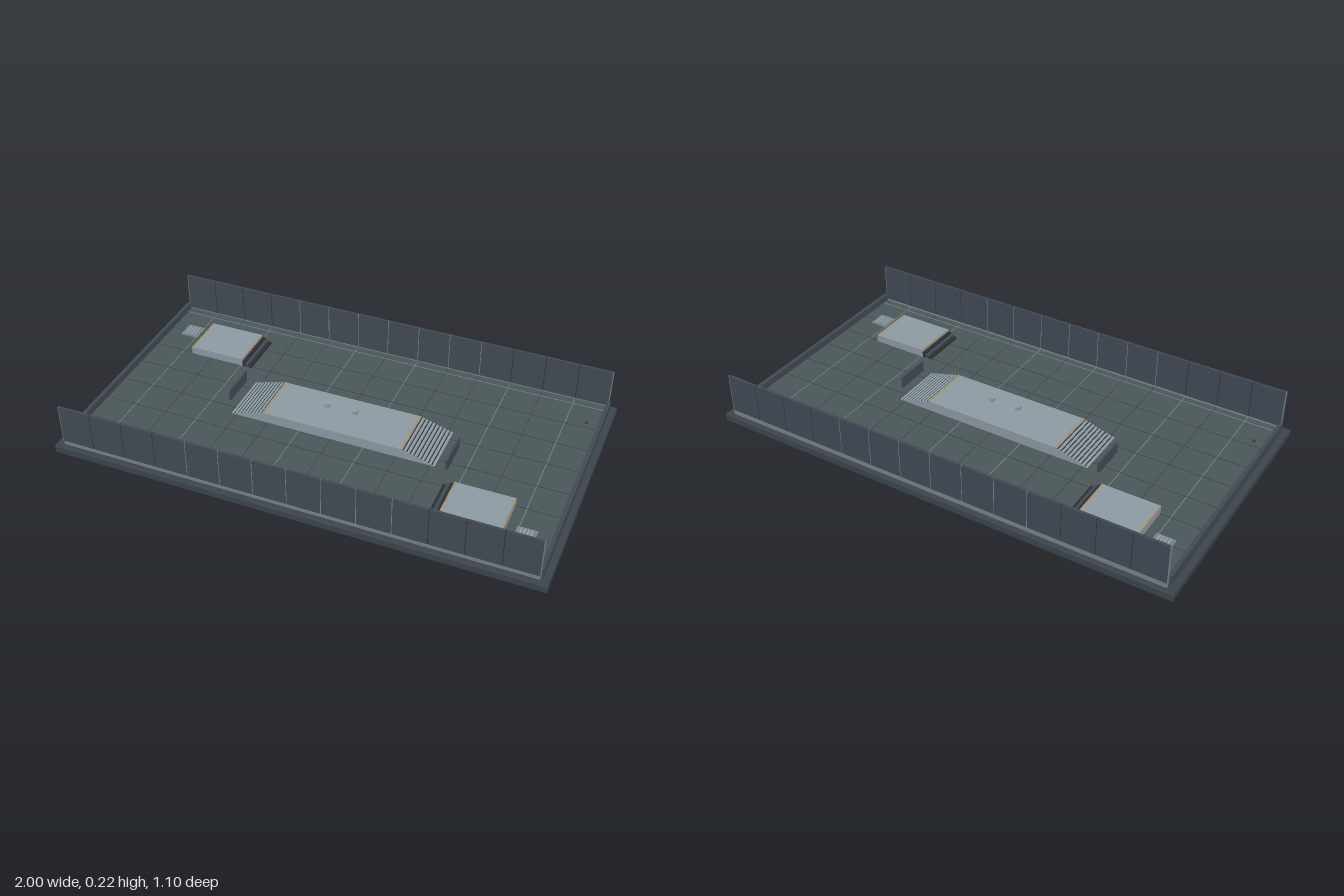
import * as THREE from 'three';
import { RoundedBoxGeometry } from 'three/addons/geometries/RoundedBoxGeometry.js';

const mat = (color) => new THREE.MeshStandardMaterial({ color });

export function createModel() {
  const root = new THREE.Group();
  root.name = 'arenaDeck';
  const M = {
    base: mat(0x3d444d), floor: mat(0x4a5659), wall: mat(0x414a54), dark: mat(0x2b3036),
    slab: mat(0x8e9aa3), line: mat(0x75838a), trim: mat(0xb98a4a),
  };

  // Box given by its limits on each axis
  const box = (parent, name, m, x0, x1, y0, y1, z0, z1) => {
    const mesh = new THREE.Mesh(new THREE.BoxGeometry(x1 - x0, y1 - y0, z1 - z0), m);
    mesh.position.set((x0 + x1) / 2, (y0 + y1) / 2, (z0 + z1) / 2);
    mesh.name = name;
    parent.add(mesh);
    return mesh;
  };
  const group = (name, parent = root) => {
    const g = new THREE.Group();
    g.name = name;
    parent.add(g);
    return g;
  };

  const FLOOR = 0.05, PITCH = 0.138;

  // Base plate and floor
  const base = new THREE.Mesh(new RoundedBoxGeometry(2, 0.035, 1.1, 2, 0.006), M.base);
  base.position.y = 0.0175;
  base.name = 'basePlate';
  root.add(base);
  box(root, 'floor', M.floor, -0.965, 0.965, 0.03, FLOOR, -0.52, 0.52);

  // Floor seams, light across and dark along
  const seams = group('floorSeams');
  for (let i = -6; i <= 6; i++) {
    const light = [1, 4, 6].includes(Math.abs(i));
    box(seams, 'crossSeam', light ? M.line : M.base, i * PITCH - 0.0015, i * PITCH + 0.0015,
      FLOOR - 0.002, FLOOR + 0.0008, -0.515, 0.515);
  }
  for (const z of [-0.485, -0.347, -0.208, -0.07, 0.07, 0.208, 0.347, 0.485]) {
    const light = Math.abs(z) > 0.4;
    box(seams, 'longSeam', light ? M.line : M.base, -0.96, 0.96,
      FLOOR - 0.002, FLOOR + 0.0012, z - 0.0015, z + 0.0015);
  }

  // Long side walls made of panels, and low end curbs
  for (const s of [-1, 1]) {
    const wall = group(s > 0 ? 'frontWall' : 'backWall');
    for (let i = 0; i < 14; i++) {
      const x = (i - 7) * PITCH;
      box(wall, 'wallPanel', M.wall, x + 0.0015, x + PITCH - 0.0015, 0.055, 0.22,
        s * 0.525 - 0.005, s * 0.525 + 0.005);
    }
    for (let i = -7; i <= 7; i++) {
      box(wall, 'panelJoint', Math.abs(i) < 4 || Math.abs(i) === 7 ? M.line : M.dark,
        i * PITCH - 0.0015, i * PITCH + 0.0015, 0.055, 0.219, s * 0.525 - 0.0045, s * 0.525 + 0.0045);
    }
    box(wall, 'wallRail', M.line, -0.966, 0.966, 0.034, 0.055, s * 0.523 - 0.007, s * 0.523 + 0.003);
    box(root, 'endCurb', M.wall, s * 0.967 - 0.008, s * 0.967 + 0.008, 0.034, 0.08, -0.515, 0.515);
  }

  // Central platform with stepped ramps at both ends
  const platform = group('centralPlatform');
  const TOP = 0.093, STEPS = 9;
  box(platform, 'platformTop', M.slab, -0.3, 0.3, FLOOR - 0.002, TOP, -0.112, 0.112);
  for (const s of [-1, 1]) {
    for (let i = 0; i < STEPS; i++) {
      const run = 0.135 / STEPS;
      const a = s * (0.3 + i * run), b = s * (0.3 + (i + 1) * run);
      const h = TOP - (i + 1) * (TOP - FLOOR) / (STEPS + 1);
      box(platform, 'rampStep', M.slab, Math.min(a, b), Math.max(a, b), FLOOR - 0.002, h, -0.112, 0.112);
      box(platform, 'stepEdge', M.dark, a + s * 0.003 - 0.002, a + s * 0.003 + 0.002, h - 0.001, h + 0.001, -0.11, 0.11);
    }
    box(platform, 'edgeLine', M.trim, s * 0.293 - 0.002, s * 0.293 + 0.002, TOP - 0.001, TOP + 0.001, -0.112, 0.112);
    // Small blocks hovering over the platform
    box(root, 'hoveringMarker', M.slab, s * 0.06 - 0.009, s * 0.06 + 0.009, 0.116, 0.131, -0.009, 0.009);
  }

  // Corner furniture, repeated by a half turn
  for (const turn of [0, Math.PI]) {
    const side = group(turn ? 'leftBackFurniture' : 'rightFrontFurniture');
    side.rotation.y = turn;
    // Raised block with dark steps toward the centre
    box(side, 'sideBlock', M.slab, 0.543, 0.785, FLOOR - 0.002, 0.083, 0.202, 0.402);
    for (const x of [0.546, 0.782]) {
      box(side, 'blockEdgeLine', M.trim, x - 0.002, x + 0.002, 0.082, 0.084, 0.202, 0.402);
    }
    for (let i = 0; i < 3; i++) {
      box(side, 'blockStep', i % 2 ? M.wall : M.dark, 0.5 + i * 0.0145, 0.5145 + i * 0.0145,
        FLOOR - 0.002, 0.058 + i * 0.008, 0.202, 0.402);
    }
    // Slatted floor vent
    box(side, 'ventFrame', M.line, 0.822, 0.9, FLOOR - 0.002, 0.054, 0.312, 0.39);
    for (let i = 0; i < 4; i++) {
      box(side, 'ventSlat', M.slab, 0.836 + i * 0.014, 0.844 + i * 0.014, 0.053, 0.058, 0.32, 0.382);
    }
    // Low screen beside the ramp
    box(side, 'lowScreen', M.wall, 0.478, 0.486, FLOOR - 0.002, 0.098, -0.035, 0.115);
    // Floor stud
    const stud = new THREE.Mesh(new THREE.CylinderGeometry(0.008, 0.008, 0.006, 12), M.base);
    stud.position.set(0.91, FLOOR + 0.002, -0.38);
    stud.name = 'floorStud';
    side.add(stud);
  }
  return root;
}
